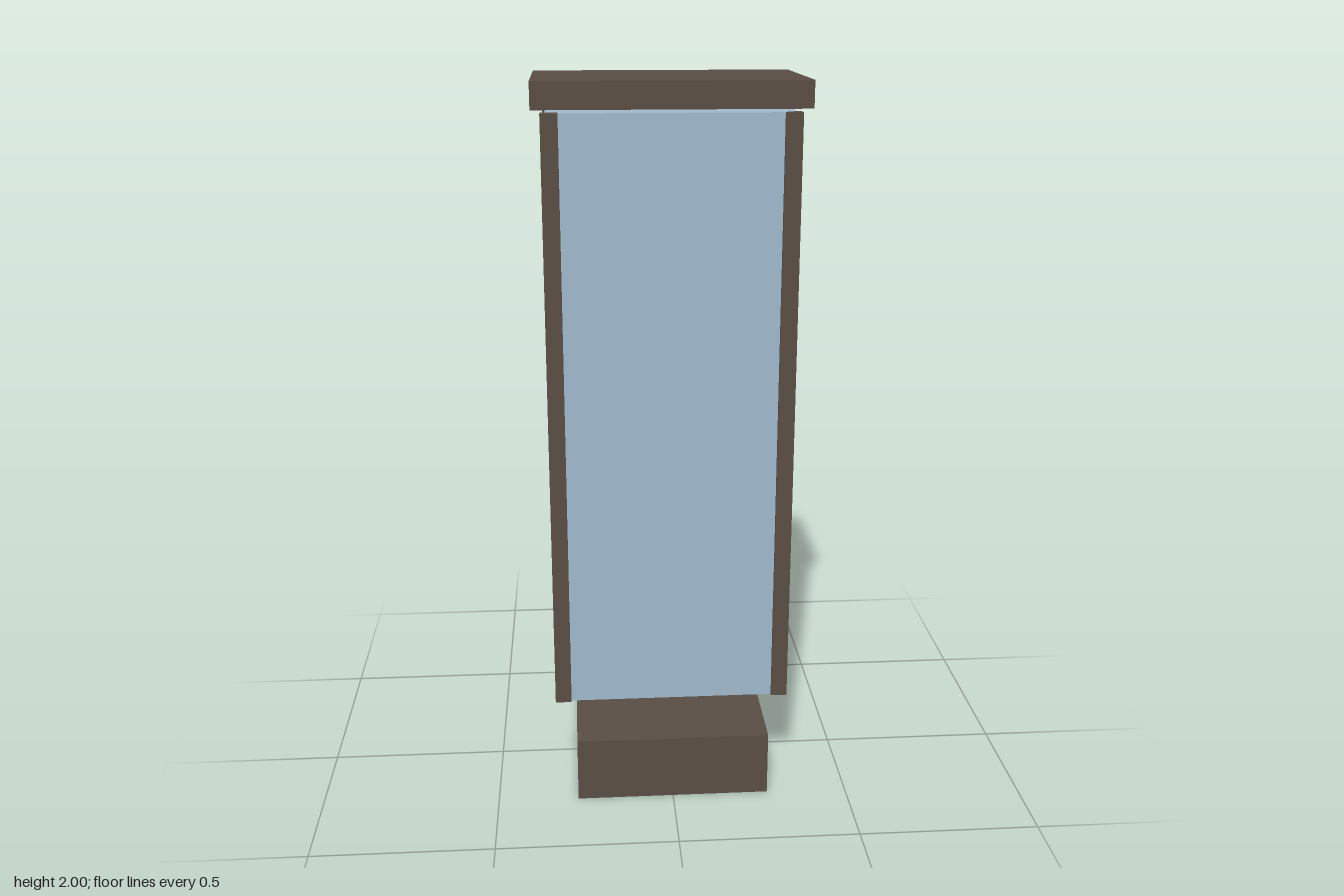
import * as THREE from 'three';

const frameMat = new THREE.MeshStandardMaterial({ color: 0x5a4e44 });
const glassMat = new THREE.MeshStandardMaterial({ color: 0xa0b9cc });
const panelMat = new THREE.MeshStandardMaterial({ color: 0xa0564f });

// Box given by its size, centre and bottom height
function box(name, mat, w, h, d, x, bottom, z) {
  const mesh = new THREE.Mesh(new THREE.BoxGeometry(w, h, d), mat);
  mesh.name = name;
  mesh.position.set(x, bottom + h / 2, z);
  return mesh;
}

export function createModel() {
  const model = new THREE.Group();
  model.name = 'displayPillar';

  // Square plinth, with the body hovering above it
  model.add(box('base', frameMat, 0.545, 0.185, 0.545, 0, 0, 0));

  // Body, slightly recessed behind the corner posts
  model.add(box('body', glassMat, 0.64, 1.64, 0.41, 0, 0.28, 0));

  // Four corner posts
  const posts = new THREE.Group();
  posts.name = 'cornerPosts';
  for (const sx of [-1, 1]) {
    for (const sz of [-1, 1]) {
      posts.add(box('cornerPost', frameMat, 0.045, 1.64, 0.045, sx * 0.309, 0.28, sz * 0.191));
    }
  }
  model.add(posts);

  // Raised panel on the back
  model.add(box('backPanel', panelMat, 0.355, 1.095, 0.022, 0, 0.55, -0.2125));

  // Overhanging cap
  model.add(box('cap', frameMat, 0.71, 0.07, 0.455, 0, 1.93, 0));

  return model;
}
